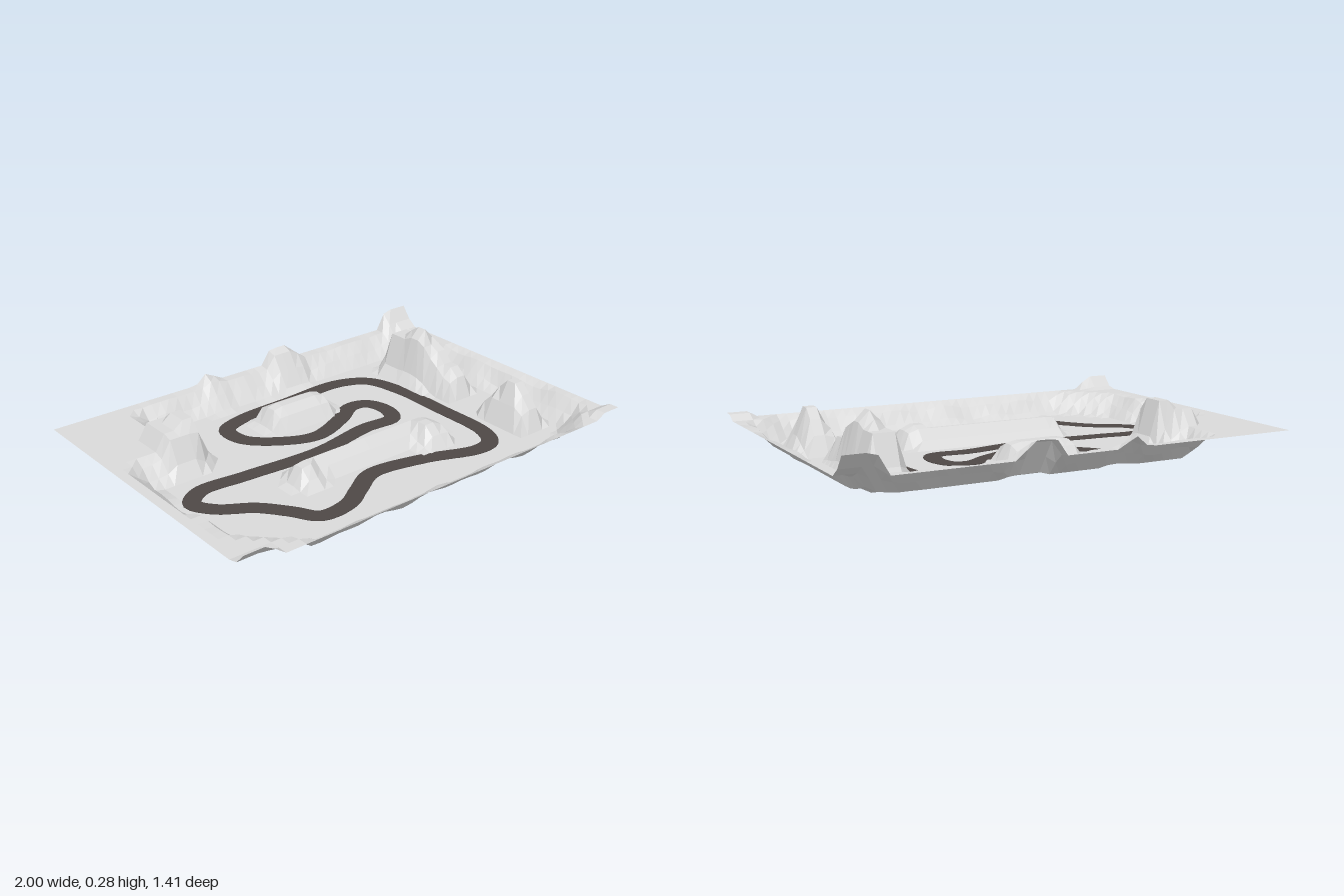
import * as THREE from 'three';

const FLOOR = 0.02, RIM = 0.12, HALF_Z = 0.705, COLS = 44, ROWS = 31;

// foot of the valley walls, [x, z]
const valley = [
  [-0.57, -0.57], [0.62, -0.57], [0.84, -0.56], [0.87, -0.3], [0.88, 0.1], [0.87, 0.5],
  [0.74, 0.59], [-0.64, 0.6], [-0.74, 0.5], [-0.82, 0.42], [-0.82, 0.25], [-0.86, 0.2],
  [-0.86, -0.13], [-0.56, -0.13], [-0.55, -0.4], [-0.6, -0.47],
];

// raised blocks: x0, x1, z0, z1, top height, slope width
const hills = [
  [-0.64, -0.59, -0.35, -0.22, 0.225, 0.06], [-0.73, -0.63, -0.39, -0.21, 0.19, 0.08], // left crag
  [0.68, 0.775, -0.44, -0.18, 0.22, 0.06], [0.68, 0.775, -0.33, -0.25, 0.24, 0.06],    // right crag
  [0.72, 0.73, -0.33, -0.25, 0.285, 0.1], [0.69, 0.775, -0.2, -0.13, 0.2, 0.06],
  [0.7, 0.775, -0.13, -0.04, 0.15, 0.06],
  [0.72, 0.775, 0.28, 0.37, 0.21, 0.07], [0.7, 0.775, 0.23, 0.41, 0.165, 0.06],        // front right crag
  [-0.13, 0.13, -0.37, -0.27, 0.11, 0.06],                                              // inner mesa
  [-0.36, 0.32, 0.145, 0.18, 0.1, 0.055], [0.27, 0.35, 0.17, 0.27, 0.11, 0.06],        // long ridge
  [-0.36, -0.31, 0.15, 0.22, 0.1, 0.055],
  [0.87, 1, -0.71, -0.69, 0.21, 0.1], [-1, -0.88, 0.69, 0.71, 0.18, 0.1],              // rim corners
  [0.9, 1, 0.66, 0.71, 0.145, 0.1],
  [-0.24, -0.2, -0.71, -0.68, 0.165, 0.12], [0.14, 0.25, -0.71, -0.67, 0.19, 0.11],    // back rim bumps
];

const track = [
  [-0.8, 0.06], [-0.72, -0.01], [-0.5, 0], [-0.13, 0.02], [0.17, -0.03], [0.33, -0.03],
  [0.37, -0.12], [0.34, -0.22], [0.26, -0.24], [0.14, -0.17], [-0.05, -0.105], [-0.21, -0.17],
  [-0.32, -0.28], [-0.32, -0.4], [-0.21, -0.45], [0.08, -0.47], [0.38, -0.48], [0.51, -0.41],
  [0.56, -0.24], [0.565, 0.03], [0.555, 0.33], [0.5, 0.42], [0.41, 0.435], [0.17, 0.35],
  [-0.08, 0.31], [-0.21, 0.38], [-0.32, 0.445], [-0.46, 0.45], [-0.53, 0.35], [-0.62, 0.24], [-0.75, 0.15],
];

const clamp = (v) => Math.min(1, Math.max(0, v));

// distance from the valley floor, zero inside it
function distanceOutside(x, z) {
  let inside = false, best = Infinity;
  valley.forEach(([ax, az], i) => {
    const [bx, bz] = valley[(i + 1) % valley.length];
    if ((az > z) !== (bz > z) && x < ((bx - ax) * (z - az)) / (bz - az) + ax) inside = !inside;
    const dx = bx - ax, dz = bz - az;
    const t = clamp(((x - ax) * dx + (z - az) * dz) / (dx * dx + dz * dz));
    best = Math.min(best, Math.hypot(x - ax - t * dx, z - az - t * dz));
  });
  return inside ? 0 : best;
}

function heightAt(x, z) {
  // shallow dip under the back straight
  let h = FLOOR * clamp(Math.hypot(x / 0.11, (z + 0.48) / 0.075));
  // walls with a gently wavering slope
  const d = distanceOutside(x, z);
  const waver = 0.01 * Math.sin(23 * x + 4 * z) * Math.cos(19 * z - 5 * x);
  if (d > 0) h += (RIM - FLOOR) * clamp((d + waver) / 0.09);
  for (const [x0, x1, z0, z1, top, slope] of hills) {
    const dx = Math.max(x0 - x, x - x1, 0), dz = Math.max(z0 - z, z - z1, 0);
    const rise = clamp(1 - Math.hypot(dx, dz) / slope);
    if (rise > 0) h = Math.max(h, FLOOR + (top - FLOOR) * rise);
  }
  return h;
}

// faceted height field
function makeTerrain(material) {
  const geometry = new THREE.PlaneGeometry(2, HALF_Z * 2, COLS, ROWS).rotateX(-Math.PI / 2);
  const p = geometry.attributes.position;
  for (let i = 0; i < p.count; i++) p.setY(i, heightAt(p.getX(i), p.getZ(i)));
  geometry.computeVertexNormals();
  const mesh = new THREE.Mesh(geometry, material);
  mesh.name = 'terrain';
  return mesh;
}

// closed strip of four-cornered cross-sections along the track
function makeRoad(material) {
  const curve = new THREE.CatmullRomCurve3(track.map(([x, z]) => new THREE.Vector3(x, 0, z)), true);
  const steps = 260, half = 0.038, high = FLOOR + 0.003, positions = [], index = [];
  for (let i = 0; i < steps; i++) {
    const c = curve.getPointAt(i / steps), t = curve.getTangentAt(i / steps);
    const sx = -t.z * half, sz = t.x * half;
    // uneven underside that just breaks through the floor in places
    const lowA = FLOOR + 0.0006 * Math.sin(i * 2.3), lowB = FLOOR + 0.0006 * Math.sin(i * 1.7 + 2);
    positions.push(c.x + sx, high, c.z + sz, c.x - sx, high, c.z - sz);
    positions.push(c.x - sx, lowA, c.z - sz, c.x + sx, lowB, c.z + sz);
    const next = ((i + 1) % steps) * 4;
    for (let k = 0; k < 4; k++) {
      const a = i * 4 + k, b = i * 4 + ((k + 1) % 4);
      const c2 = next + k, d2 = next + ((k + 1) % 4);
      index.push(a, b, c2, b, d2, c2);
    }
  }
  const geometry = new THREE.BufferGeometry();
  geometry.setAttribute('position', new THREE.Float32BufferAttribute(positions, 3));
  geometry.setIndex(index);
  geometry.computeVertexNormals();
  const mesh = new THREE.Mesh(geometry, material);
  mesh.name = 'road';
  return mesh;
}

export function createModel() {
  const rock = new THREE.MeshStandardMaterial({ color: 0xdadada, flatShading: true, side: THREE.DoubleSide });
  rock.name = 'pale grey rock';
  const asphalt = new THREE.MeshStandardMaterial({ color: 0x4e4846, flatShading: true, side: THREE.DoubleSide });
  asphalt.name = 'dark asphalt';

  const group = new THREE.Group();
  group.name = 'raceTrackValley';
  group.add(makeTerrain(rock), makeRoad(asphalt));
  return group;
}
